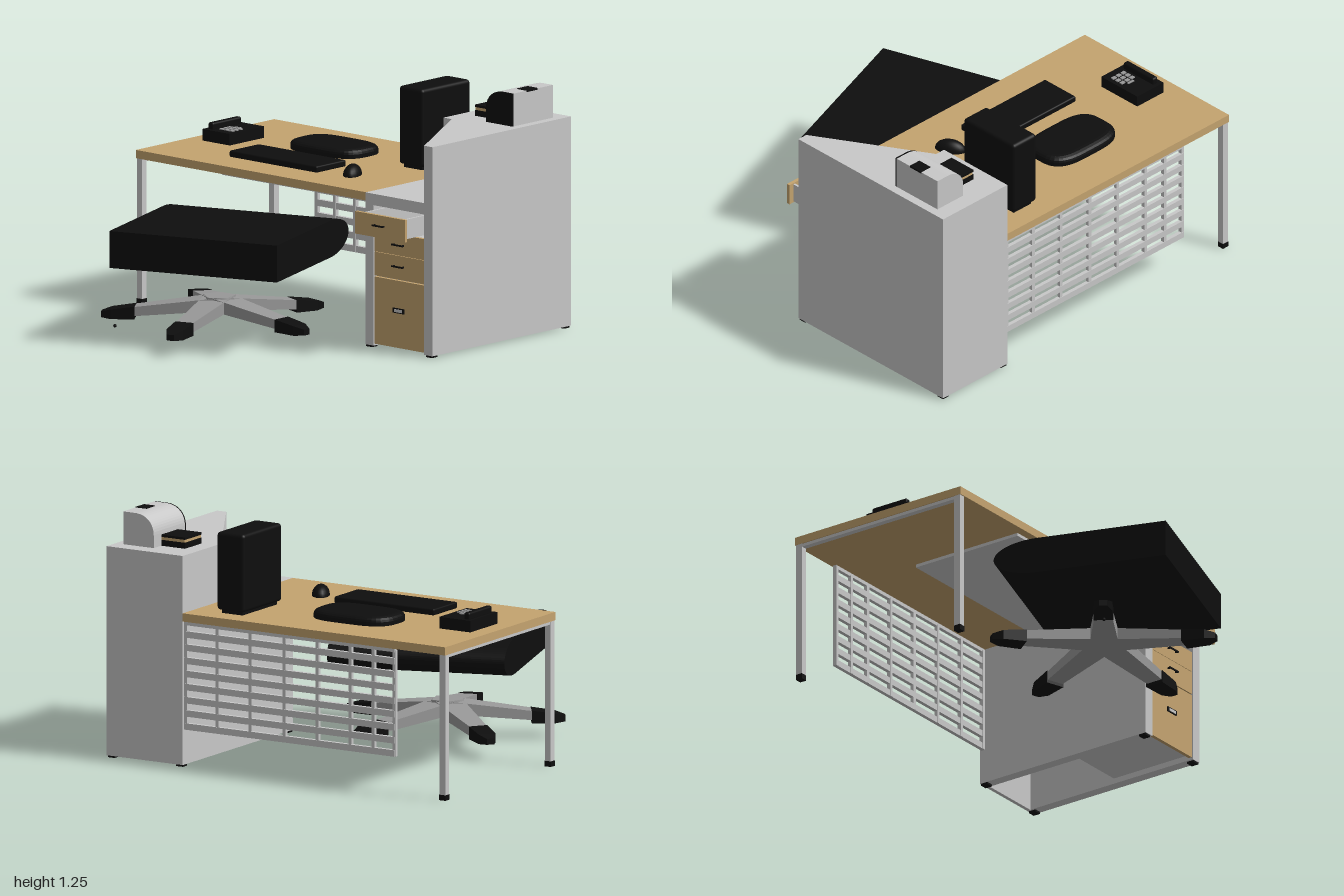
import * as THREE from 'three';
import { RoundedBoxGeometry } from 'three/addons/geometries/RoundedBoxGeometry.js';

const mat = (name, color) => Object.assign(new THREE.MeshStandardMaterial({ color }), { name });

export function createModel() {
  const model = new THREE.Group();
  model.name = 'officeDesk';
  const grey = mat('lightGrey', 0xc8c8c8);
  const wood = mat('wood', 0xc4a36f);
  const black = mat('black', 0x0e0e0e);
  const metal = mat('metalGrey', 0x989898);

  const add = (name, geo, material, parent = model) => {
    const m = new THREE.Mesh(geo, material);
    m.name = name;
    parent.add(m);
    return m;
  };
  // box given by its limits on each axis
  const box = (name, material, x0, x1, y0, y1, z0, z1, parent = model) => {
    const m = add(name, new THREE.BoxGeometry(x1 - x0, y1 - y0, z1 - z0), material, parent);
    m.position.set((x0 + x1) / 2, (y0 + y1) / 2, (z0 + z1) / 2);
    return m;
  };
  const rounded = (name, material, x0, x1, y0, y1, z0, z1, r) => {
    const m = add(name, new RoundedBoxGeometry(x1 - x0, y1 - y0, z1 - z0, 3, r), material);
    m.position.set((x0 + x1) / 2, (y0 + y1) / 2, (z0 + z1) / 2);
    return m;
  };
  // plan polygon of [x, z] points, raised from y0 to y1
  const slab = (name, material, pts, y0, y1) => {
    const shape = new THREE.Shape(pts.map(([x, z]) => new THREE.Vector2(x, -z)));
    const geo = new THREE.ExtrudeGeometry(shape, { depth: y1 - y0, bevelEnabled: false });
    geo.rotateX(-Math.PI / 2);
    geo.translate(0, y0, 0);
    return add(name, geo, material);
  };

  // desk top, under-frame and legs
  box('deskTop', wood, -1, 0.55, 0.741, 0.783, -0.95, 0.075);
  box('underTray', grey, -0.46, 0.55, 0.725, 0.741, -0.6, 0.03);
  box('sideRail', grey, -0.995, -0.965, 0.725, 0.741, -0.92, 0.04);
  for (const z of [-0.945, 0.035]) {
    box('deskLeg', grey, -0.998, -0.963, 0.028, 0.741, z, z + 0.035);
    box('legFoot', black, -0.999, -0.962, 0, 0.028, z - 0.001, z + 0.036);
  }

  // slatted rear panel
  for (let i = 0; i < 8; i++) {
    const y = 0.206 + i * 0.067;
    box('panelSlat', grey, -0.695, 0.55, y - 0.0165, y + 0.0165, -0.94, -0.92);
  }
  for (const x of [-0.689, -0.565, -0.43, -0.235, -0.04, 0.16, 0.355, 0.54])
    box('panelStile', grey, x - 0.009, x + 0.009, 0.19, 0.73, -0.938, -0.918);
  box('panelTop', grey, -0.695, 0.55, 0.722, 0.741, -0.94, -0.92);

  // cabinet carcass, with the upper shelves cut on a diagonal
  box('cabinetRightSide', grey, 0.945, 1, 0.01, 1.06, -0.95, 0.078);
  box('cabinetLeftSide', grey, 0.55, 0.605, 0.01, 0.725, -0.95, 0.078);
  box('cabinetUpperLeftSide', grey, 0.55, 0.605, 0.783, 1.06, -0.95, -0.5);
  box('cabinetBack', grey, 0.605, 0.945, 0.01, 1.06, -0.95, -0.93);
  box('cabinetCounter', grey, 0.55, 0.945, 0.725, 0.783, -0.95, 0.078);
  slab('cabinetTop', grey, [[0.55, -0.95], [1, -0.95], [1, 0.078], [0.945, 0.078], [0.605, -0.5], [0.55, -0.5]], 1.06, 1.075);
  slab('cabinetShelf', grey, [[0.605, -0.93], [0.945, -0.93], [0.945, 0.06], [0.605, -0.5]], 0.908, 0.925);
  for (const x of [0.552, 0.955])
    for (const z of [-0.945, 0.035])
      box('cabinetFoot', black, x, x + 0.04, 0, 0.01, z, z + 0.04);

  // closed drawers
  const handle = (y, z) => {
    box('handleBar', black, 0.735, 0.81, y - 0.004, y + 0.004, z + 0.012, z + 0.018);
    for (const x of [0.74, 0.8]) box('handlePost', black, x, x + 0.006, y - 0.004, y + 0.004, z, z + 0.013);
  };
  for (const [y0, y1] of [[0.02, 0.362], [0.368, 0.489], [0.491, 0.598]])
    box('drawerFront', wood, 0.608, 0.942, y0, y1, 0.055, 0.074);
  box('drawerBody', grey, 0.62, 0.93, 0.03, 0.59, -0.4, 0.055);
  handle(0.545, 0.074);
  handle(0.435, 0.074);
  box('labelFrame', black, 0.735, 0.808, 0.197, 0.222, 0.074, 0.08);
  box('labelCard', grey, 0.745, 0.798, 0.202, 0.217, 0.08, 0.082);

  // open drawer
  box('openDrawerFront', wood, 0.608, 0.942, 0.603, 0.717, 0.2, 0.218);
  box('openDrawerFloor', grey, 0.635, 0.915, 0.61, 0.62, -0.35, 0.2);
  for (const x of [0.635, 0.903]) box('openDrawerSide', grey, x, x + 0.012, 0.62, 0.71, -0.35, 0.2);
  box('openDrawerBack', grey, 0.647, 0.903, 0.62, 0.71, -0.35, -0.338);
  handle(0.665, 0.218);

  // printer with a rounded shoulder
  const p = new THREE.Shape();
  p.moveTo(0.775, 1.075);
  p.lineTo(0.955, 1.075);
  p.lineTo(0.955, 1.242);
  p.lineTo(0.885, 1.242);
  p.bezierCurveTo(0.82, 1.242, 0.775, 1.2, 0.775, 1.14);
  const body = new THREE.ExtrudeGeometry(p, { depth: 0.29, bevelEnabled: false, curveSegments: 12 });
  add('printerBody', body, grey).position.z = -0.865;
  const cheek = new THREE.ExtrudeGeometry(p, { depth: 0.009, bevelEnabled: false, curveSegments: 12 });
  add('printerFrontCheek', cheek, black).position.z = -0.575;
  box('printerHatch', black, 0.89, 0.956, 1.235, 1.245, -0.75, -0.67);
  box('printerTrayBase', black, 0.635, 0.78, 1.075, 1.105, -0.795, -0.64);
  box('printerPaper', wood, 0.638, 0.78, 1.105, 1.12, -0.793, -0.642);
  box('printerTrayLid', black, 0.635, 0.78, 1.12, 1.132, -0.795, -0.64);

  // computer tower
  rounded('towerCase', black, 0.25, 0.412, 0.8, 1.197, -0.855, -0.495, 0.018);
  box('towerBase', black, 0.27, 0.392, 0.783, 0.805, -0.835, -0.515);

  // keyboard, mouse and oval pad
  rounded('keyboard', black, -0.54, 0.05, 0.783, 0.816, -0.33, -0.11, 0.008);
  const mouse = add('mouse', new THREE.SphereGeometry(1, 20, 8, 0, Math.PI * 2, 0, Math.PI / 2), black);
  mouse.scale.set(0.045, 0.055, 0.08);
  mouse.position.set(0.21, 0.783, -0.2);
  mouse.rotation.y = 0.5;
  const pad = new THREE.Shape();
  for (let i = 0; i < 40; i++) {
    const a = (i / 40) * Math.PI * 2, c = Math.cos(a), s = Math.sin(a);
    const x = 0.19 * Math.sign(c) * Math.abs(c) ** 0.55, y = 0.108 * Math.sign(s) * Math.abs(s) ** 0.55;
    if (i) pad.lineTo(x, y); else pad.moveTo(x, y);
  }
  const padGeo = new THREE.ExtrudeGeometry(pad, { depth: 0.02, bevelThickness: 0.026, bevelSize: 0.04, bevelSegments: 4 });
  padGeo.rotateX(-Math.PI / 2);
  add('ovalPad', padGeo, black).position.set(-0.26, 0.784, -0.582);

  // telephone
  box('phoneBase', black, -0.91, -0.727, 0.783, 0.842, -0.575, -0.32);
  rounded('phoneHandset', black, -0.892, -0.858, 0.835, 0.876, -0.555, -0.34, 0.01);
  for (let r = 0; r < 3; r++)
    for (let c = 0; c < 3; c++) {
      const x = -0.84 + c * 0.033, z = -0.445 + r * 0.03;
      box('phoneButton', metal, x, x + 0.025, 0.84, 0.847, z, z + 0.02);
    }
  box('phoneDisplay', metal, -0.815, -0.775, 0.84, 0.846, -0.465, -0.453);

  // chair seat: square front edge, bull-nosed back edge
  const seat = new THREE.Shape();
  seat.moveTo(0, 0.392);
  seat.lineTo(0.67, 0.392);
  seat.absellipse(0.67, 0.486, 0.23, 0.094, -Math.PI / 2, Math.PI / 2, false, 0);
  seat.lineTo(0, 0.58);
  const seatMesh = add('chairSeat', new THREE.ExtrudeGeometry(seat, { depth: 0.91, bevelEnabled: false, curveSegments: 16 }), black);
  seatMesh.position.set(-0.415, 0, 0.915);
  seatMesh.rotation.y = Math.atan2(0.946, -0.323);

  // tapered star-base limb between distances r0 and r1; ends are [halfWidth, bottom, top]
  const limb = (r0, r1, a, b) => {
    const geo = new THREE.BoxGeometry(1, 1, 1);
    const pos = geo.attributes.position;
    for (let i = 0; i < pos.count; i++) {
      const far = pos.getX(i) > 0, e = far ? b : a;
      pos.setXYZ(i, far ? r1 : r0, e[pos.getY(i) > 0 ? 2 : 1], Math.sign(pos.getZ(i)) * e[0]);
    }
    geo.computeVertexNormals();
    return geo;
  };
  const base = new THREE.Group();
  base.name = 'chairBase';
  base.position.set(-0.18, 0, 0.36);
  model.add(base);
  for (let i = 0; i < 5; i++) {
    const leg = new THREE.Group();
    leg.name = 'chairLeg';
    leg.rotation.y = -i * Math.PI * 2 / 5;
    base.add(leg);
    add('legArm', limb(0, 0.46, [0.075, 0.135, 0.2], [0.042, 0.09, 0.135]), metal, leg);
    add('legTip', limb(0.42, 0.54, [0.05, 0.078, 0.143], [0.045, 0.076, 0.125]), black, leg);
    add('legToe', limb(0.54, 0.59, [0.045, 0.076, 0.125], [0.02, 0.08, 0.11]), black, leg);
  }
  const hub = add('chairHub', new THREE.CylinderGeometry(0.085, 0.1, 0.07, 5), metal, base);
  hub.position.y = 0.166;
  const pin = add('casterPin', new THREE.SphereGeometry(0.009, 8, 6), black);
  pin.position.set(-0.6, 0.035, 0.67);

  return model;
}
